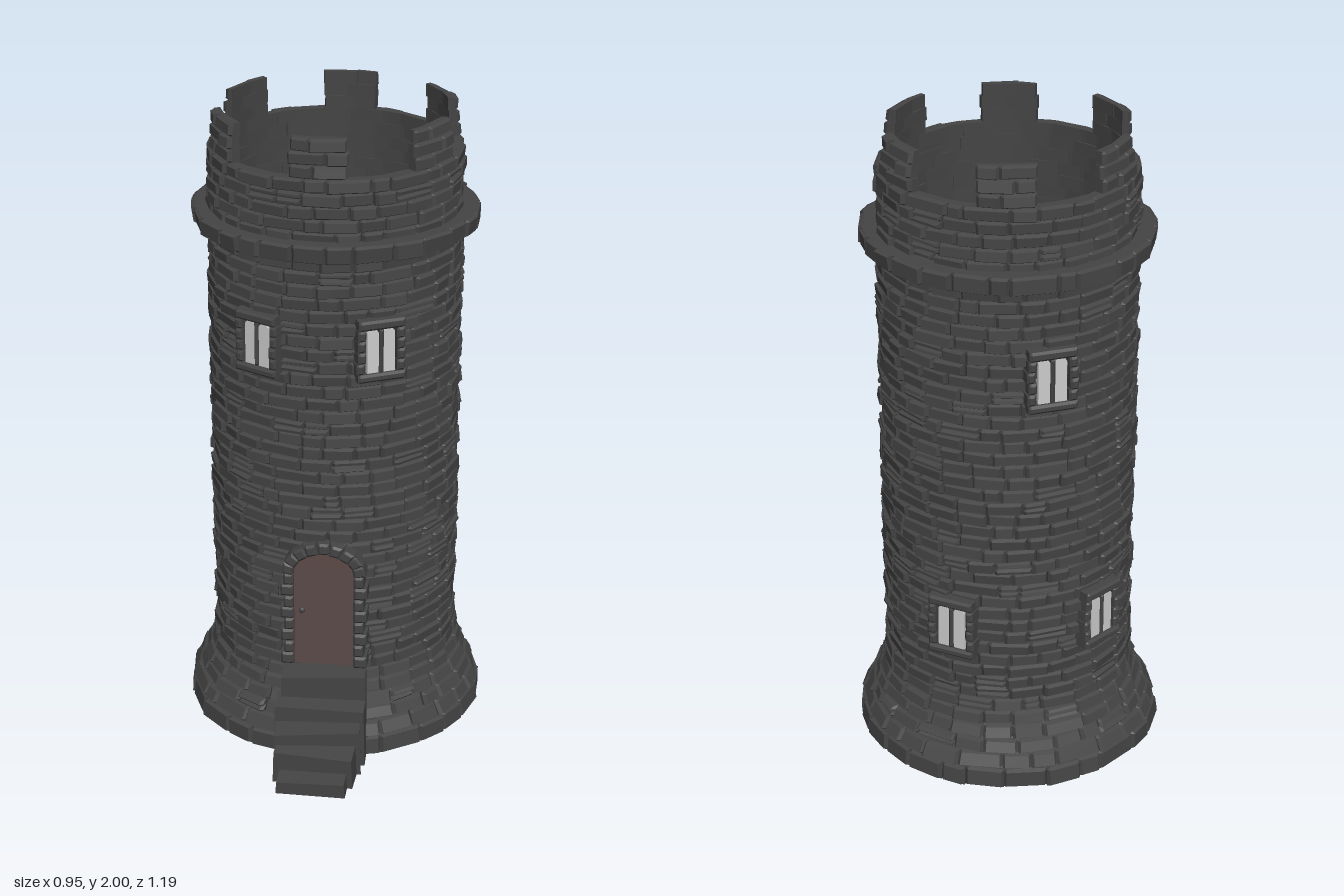
import * as THREE from 'three';
import { mergeGeometries } from 'three/addons/utils/BufferGeometryUtils.js';

const DEG = Math.PI / 180;
const TAU = Math.PI * 2;

// Small seeded generator for the uneven masonry
let seed = 7;
function rand(lo, hi) {
  seed = (seed * 16807) % 2147483647;
  return lo + (hi - lo) * (seed / 2147483647);
}

const stone = new THREE.MeshStandardMaterial({ color: 0x444444, flatShading: true });
const wood = new THREE.MeshStandardMaterial({ color: 0x5c4a48, flatShading: true });
const glass = new THREE.MeshStandardMaterial({ color: 0xcccccc, flatShading: true });

function mesh(name, geometry, material) {
  const m = new THREE.Mesh(geometry, material);
  m.name = name;
  return m;
}

// Box with a chamfered front (+z); each coordinate runs -0.5..0.5 before place() maps it
function chamferedStone(bevelU, bevelV, place) {
  const g = new THREE.BoxGeometry(1, 1, 1, 3, 3, 1);
  const p = g.attributes.position;
  const inset = (t, b) => (Math.abs(t) > 0.4 ? t : Math.sign(t) * (0.5 - b));
  for (let i = 0; i < p.count; i++) {
    const u = p.getX(i), v = p.getY(i), front = p.getZ(i) > 0;
    const rim = Math.abs(u) > 0.4 || Math.abs(v) > 0.4;
    p.setXYZ(i, ...place(inset(u, bevelU), inset(v, bevelV), front, front && rim));
  }
  return g;
}

// Stone bent around the tower axis
function brick(a0, a1, y0, y1, rIn, rLow, rHigh, bevel = 0.012) {
  const push = rand(-0.005, 0.006), tilt = rand(-0.008, 0.008), lean = rand(-0.006, 0.006);
  const inner = rIn + rand(0, 0.006);
  const width = (a1 - a0) * rLow;
  return chamferedStone(0.009 / width, 0.006 / (y1 - y0), (u, v, front, rim) => {
    const a = a0 + (u + 0.5) * (a1 - a0);
    const outer = rLow + (rHigh - rLow) * (v + 0.5) + push + tilt * u + lean * v;
    const r = front ? outer - (rim ? bevel : 0) : inner;
    return [Math.sin(a) * r, y0 + (v + 0.5) * (y1 - y0), Math.cos(a) * r];
  });
}

// One closed ring of bricks of uneven width
function course(out, count, ...size) {
  const start = rand(0, TAU);
  const cuts = [];
  for (let i = 0; i < count; i++) cuts.push(start + (i + rand(-0.27, 0.27)) * TAU / count);
  cuts.push(cuts[0] + TAU);
  for (let i = 0; i < count; i++) {
    const [y0, y1, ...rest] = size;
    // Some places hold two thin stones instead of one
    if (y1 - y0 < 0.045 && rand(0, 1) < 0.1) {
      const mid = (y0 + y1) / 2;
      out.push(brick(cuts[i], cuts[i + 1], y0, mid, ...rest), brick(cuts[i], cuts[i + 1], mid, y1, ...rest));
    } else out.push(brick(cuts[i], cuts[i + 1], ...size));
  }
}

// Flat dressed stone, front facing +z
function block(x, y, z, w, h, d, roll = 0) {
  const g = chamferedStone(0.007 / w, 0.007 / h, (u, v, front, rim) =>
    [u * w, v * h, front ? d / 2 - (rim ? 0.007 : 0) : -d / 2]);
  return g.rotateZ(roll).translate(x, y, z);
}

// Upright panel with an arched top, standing on y = 0
function archPanel(w, h, rise, depth) {
  const s = new THREE.Shape();
  s.moveTo(-w / 2, 0);
  s.lineTo(w / 2, 0);
  s.lineTo(w / 2, h - rise);
  s.absellipse(0, h - rise, w / 2, rise, 0, Math.PI, false);
  s.closePath();
  return new THREE.ExtrudeGeometry(s, { depth, bevelEnabled: false, curveSegments: 10 });
}

function createWindow(angle, y) {
  const g = new THREE.Group();
  g.name = 'window';
  const frame = [
    block(0, 0.155, 0.388, 0.145, 0.03, 0.06),
    block(0, -0.012, 0.388, 0.15, 0.026, 0.06),
    block(0, 0.07, 0.388, 0.014, 0.14, 0.05),
  ];
  for (const side of [-1, 1]) {
    for (let i = 0; i < 4; i++) {
      frame.push(block(side * (0.06 + rand(0, 0.006)), 0.018 + i * 0.035, 0.385, 0.026, 0.034, 0.06 + rand(-0.005, 0.005)));
    }
    const pane = mesh('windowPane', archPanel(0.036, 0.138, 0.014, 0.04), glass);
    pane.position.set(side * 0.0255, 0, 0.364);
    g.add(pane);
  }
  g.add(mesh('windowFrame', mergeGeometries(frame), stone));
  g.position.y = y;
  g.rotation.y = angle * DEG;
  return g;
}

function createDoor() {
  const g = new THREE.Group();
  g.name = 'door';
  g.add(mesh('doorPanel', archPanel(0.19, 0.39, 0.07, 0.05).translate(0, 0, 0.352), wood));
  const knob = mesh('doorKnob', new THREE.SphereGeometry(0.01, 8, 6), stone);
  knob.position.set(-0.068, 0.19, 0.406);
  g.add(knob);
  const frame = [];
  // Jambs
  for (const side of [-1, 1]) {
    for (let i = 0; i < 8; i++) {
      const w = i % 2 ? 0.032 : 0.042;
      frame.push(block(side * (0.093 + w / 2), 0.02 + i * 0.04, 0.378, w, 0.039, 0.08 + rand(-0.008, 0.008)));
    }
  }
  // Arch stones
  for (let i = 0; i < 9; i++) {
    const t = (i + 0.5) / 9 * Math.PI;
    const roll = Math.atan2(Math.sin(t) / 0.07, Math.cos(t) / 0.095) - Math.PI / 2;
    frame.push(block(Math.cos(t) * 0.111, 0.32 + Math.sin(t) * 0.088, 0.38, 0.037, 0.037, 0.08 + rand(-0.008, 0.008), roll));
  }
  g.add(mesh('doorFrame', mergeGeometries(frame), stone));
  g.position.set(0.02, 0.3, 0);
  return g;
}

function createStairs() {
  const g = new THREE.Group();
  g.name = 'stairs';
  // Front edge z, height, width, yaw in degrees
  const steps = [
    [0.465, 0.295, 0.27, 5], [0.525, 0.215, 0.285, 3], [0.59, 0.165, 0.27, 8],
    [0.65, 0.12, 0.25, -2], [0.71, 0.062, 0.215, 0],
  ];
  steps.forEach(([z, h, w, yaw], i) => {
    const geo = new THREE.BoxGeometry(w, h - 0.012, i ? 0.085 : 0.15);
    const p = geo.attributes.position;
    // Worn, slightly sloping tread
    for (let k = 0; k < p.count; k++) {
      if (p.getY(k) > 0) {
        p.setY(k, p.getY(k) + (i % 2 ? -0.03 : 0.03) * p.getX(k) - (p.getZ(k) > 0 ? 0.008 : 0));
        p.setX(k, p.getX(k) * 0.97);
      }
    }
    const step = mesh('step', geo, stone);
    step.position.set(0.02, 0.012 + (h - 0.012) / 2, z - (i ? 0.0425 : 0.075));
    step.rotation.y = yaw * DEG;
    g.add(step);
  });
  return g;
}

export function createModel() {
  seed = 7;
  const model = new THREE.Group();
  model.name = 'stoneTower';
  const tower = new THREE.Group();
  tower.name = 'tower';
  tower.position.z = -0.115;
  tower.rotation.y = -5.5 * DEG;
  model.add(tower);

  // Floor slab, seen from below and down through the open top
  tower.add(mesh('floor', new THREE.CylinderGeometry(0.455, 0.455, 0.012, 48).translate(0, 0.006, 0), stone));

  // Flared foot: height and outer radius of each joint
  const base = [];
  const foot = [[0.004, 0.478], [0.065, 0.472], [0.11, 0.447], [0.15, 0.428], [0.19, 0.41], [0.23, 0.397], [0.27, 0.39]];
  for (let i = 0; i < foot.length - 1; i++) {
    course(base, 26, foot[i][0], foot[i + 1][0], 0.345, foot[i][1], foot[i + 1][1]);
  }
  tower.add(mesh('flaredBase', mergeGeometries(base), stone));

  // Wall
  const wall = [];
  const rows = 40, rowHeight = 1.61 / rows;
  for (let i = 0; i < rows; i++) {
    const y = 0.27 + i * rowHeight;
    course(wall, 25, y, y + rowHeight, 0.345, 0.39, 0.39);
  }
  tower.add(mesh('wall', mergeGeometries(wall), stone));

  // Projecting ring of stones
  const ring = [];
  course(ring, 28, 1.64, 1.695, 0.375, 0.437, 0.44);
  tower.add(mesh('ringLedge', mergeGeometries(ring), stone));

  // Six merlons, leaning slightly inward
  for (let k = 0; k < 6; k++) {
    const stones = [];
    for (let row = 0; row < 3; row++) {
      const y = 1.88 + row * 0.04, half = 13.6 * DEG + rand(-0.012, 0.012);
      const split = (row % 2 ? 0.07 : -0.06) + rand(-0.02, 0.02);
      const r0 = 0.386 - row * 0.004;
      stones.push(brick(-half, split, y, y + 0.04, 0.342, r0, r0 - 0.004));
      stones.push(brick(split, half, y, y + 0.04, 0.342, r0, r0 - 0.004));
    }
    const merlon = mesh('merlon', mergeGeometries(stones), stone);
    merlon.rotation.y = k * 60 * DEG;
    tower.add(merlon);
  }

  // Openings, as angle around the tower and sill height
  const windows = [[-27.5, 1.285], [27.5, 1.285], [199, 1.285], [155.5, 0.45], [225.5, 0.45]];
  for (const [angle, y] of windows) tower.add(createWindow(angle, y));
  tower.add(createDoor(), createStairs());
  return model;
}
